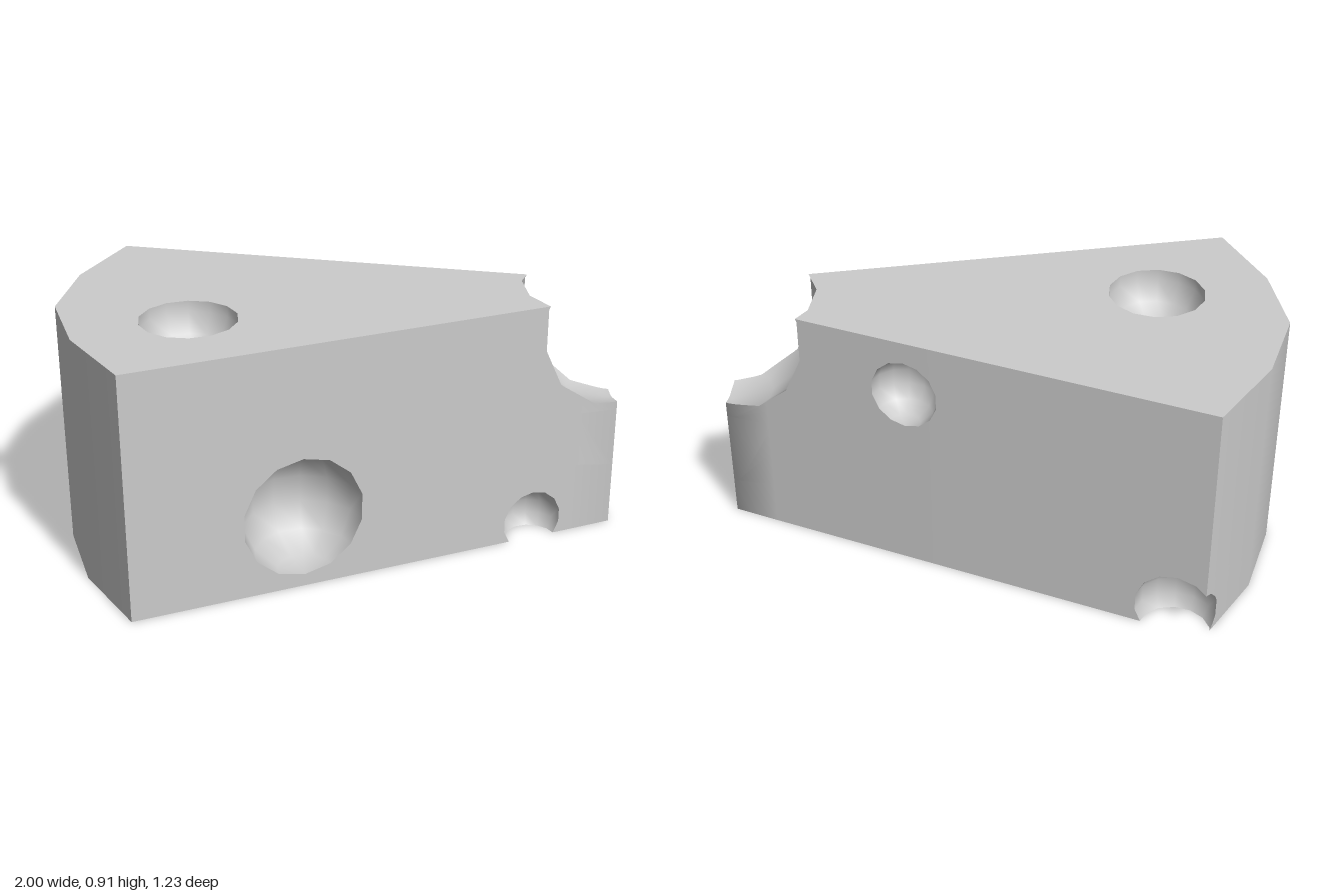
import * as THREE from 'three';

const H = 0.91;
const V = (x, y, z) => new THREE.Vector3(x, y, z);

// Plan of the wedge (x, z): curved rind, straight cut sides, softened tip.
const half = [[-1, 0], [-0.93, 0.31], [-0.77, 0.615], [0.83, 0.122], [1, 0.068]];
const outline = [...half, ...half.slice(1).reverse().map(([x, z]) => [x, -z])];
const isCrease = ([x]) => x === -0.77;

// Holes: centre and radius.
const holes = [
  { name: 'topHole', c: V(-0.54, H, 0.16), r: 0.177 },
  { name: 'frontHole', c: V(-0.17, 0.27, 0.43), r: 0.225 },
  { name: 'frontBottomHole', c: V(0.685, 0.07, 0.165), r: 0.117 },
  { name: 'backHole', c: V(0.3, 0.705, -0.285), r: 0.127 },
  { name: 'backCornerHole', c: V(-0.67, 0.08, -0.585), r: 0.152 },
  { name: 'tipBite', c: V(0.985, 0.82, -0.025), r: 0.348 },
];

// Plane of a polygon, facing away from an inner point.
function outwardPlane(poly, inside) {
  const plane = new THREE.Plane().setFromCoplanarPoints(poly[0].p, poly[1].p, poly[2].p);
  return plane.distanceToPoint(inside) > 0 ? plane.negate() : plane;
}

// Cut a convex polygon in two, blending normals along the cut.
function split(poly, plane) {
  const front = [], back = [], eps = 1e-6;
  poly.forEach((a, i) => {
    const b = poly[(i + 1) % poly.length];
    const da = plane.distanceToPoint(a.p), db = plane.distanceToPoint(b.p);
    if (da >= -eps) front.push(a);
    if (da <= eps) back.push(a);
    if ((da > eps && db < -eps) || (da < -eps && db > eps)) {
      const t = da / (da - db);
      const m = { p: a.p.clone().lerp(b.p, t), n: a.n.clone().lerp(b.n, t).normalize() };
      front.push(m);
      back.push(m);
    }
  });
  const has = (side) => poly.some((v) => side * plane.distanceToPoint(v.p) > eps);
  return [has(1) ? front : [], has(-1) ? back : []];
}

// Part of a polygon outside a convex solid.
function carve(poly, planes) {
  const kept = [];
  let rest = poly;
  for (const plane of planes) {
    const [front, back] = split(rest, plane);
    if (front.length > 2) kept.push(front);
    if (back.length < 3) return [poly];
    rest = back;
  }
  return kept;
}

// Walls, top and bottom of the solid wedge.
function wedgeFaces() {
  const count = outline.length;
  const panelNormal = (i) => {
    const a = outline[(i + count) % count], b = outline[(i + 1) % count];
    const n = V(b[1] - a[1], 0, a[0] - b[0]).normalize();
    return n.x * (a[0] + b[0]) + n.z * (a[1] + b[1]) < 0 ? n.negate() : n;
  };
  const faces = outline.map((a, i) => {
    const b = outline[(i + 1) % count], n = panelNormal(i);
    const na = isCrease(a) ? n : n.clone().add(panelNormal(i - 1)).normalize();
    const nb = isCrease(b) ? n : n.clone().add(panelNormal(i + 1)).normalize();
    return [
      { p: V(a[0], 0, a[1]), n: na }, { p: V(b[0], 0, b[1]), n: nb },
      { p: V(b[0], H, b[1]), n: nb }, { p: V(a[0], H, a[1]), n: na },
    ];
  });
  for (const [y, ny] of [[H, 1], [0, -1]]) {
    faces.push(outline.map(([x, z]) => ({ p: V(x, y, z), n: V(0, ny, 0) })));
  }
  return faces;
}

// Facets of a low-poly ball, with normals pointing to its centre.
function ballFaces({ c, r }, around = 14, rows = 7) {
  const point = (i, j) => {
    const d = V(0, 0, 0).setFromSphericalCoords(1, (Math.PI * j) / rows, (2 * Math.PI * i) / around);
    return { p: d.clone().multiplyScalar(r).add(c), n: d.negate() };
  };
  const faces = [];
  for (let j = 0; j < rows; j++) {
    for (let i = 0; i < around; i++) {
      const face = [point(i, j), point(i, j + 1), point(i + 1, j + 1), point(i + 1, j)];
      if (j === 0) face.pop();
      if (j === rows - 1) face.splice(2, 1);
      faces.push(face);
    }
  }
  return faces;
}

// Triangulate convex polygons, winding each to agree with its normals.
function meshFrom(name, polys, material) {
  const pos = [], nor = [];
  for (const poly of polys) {
    const sum = V(0, 0, 0), area = V(0, 0, 0);
    poly.forEach((v) => sum.add(v.n));
    for (let i = 1; i < poly.length - 1; i++) {
      area.add(poly[i].p.clone().sub(poly[0].p).cross(poly[i + 1].p.clone().sub(poly[0].p)));
    }
    const ring = area.dot(sum) < 0 ? [...poly].reverse() : poly;
    for (let i = 1; i < ring.length - 1; i++) {
      for (const v of [ring[0], ring[i], ring[i + 1]]) {
        pos.push(v.p.x, v.p.y, v.p.z);
        nor.push(v.n.x, v.n.y, v.n.z);
      }
    }
  }
  const geometry = new THREE.BufferGeometry();
  geometry.setAttribute('position', new THREE.Float32BufferAttribute(pos, 3));
  geometry.setAttribute('normal', new THREE.Float32BufferAttribute(nor, 3));
  const mesh = new THREE.Mesh(geometry, material);
  mesh.name = name;
  return mesh;
}

export function createModel() {
  const group = new THREE.Group();
  group.name = 'cheeseWedge';
  const material = new THREE.MeshStandardMaterial({ color: 0xcccccc });

  let walls = wedgeFaces();
  const wedgePlanes = walls.map((f) => outwardPlane(f, V(0, H / 2, 0)));

  for (const hole of holes) {
    const ball = ballFaces(hole);
    const ballPlanes = ball.map((f) => outwardPlane(f, hole.c));
    walls = walls.flatMap((f) => carve(f, ballPlanes));
    // Hollow: the share of the ball that lies inside the wedge.
    const hollow = ball
      .map((f) => wedgePlanes.reduce((rest, plane) => split(rest, plane)[1], f))
      .filter((f) => f.length > 2);
    group.add(meshFrom(hole.name, hollow, material));
  }
  group.add(meshFrom('wedgeBody', walls, material));
  return group;
}
